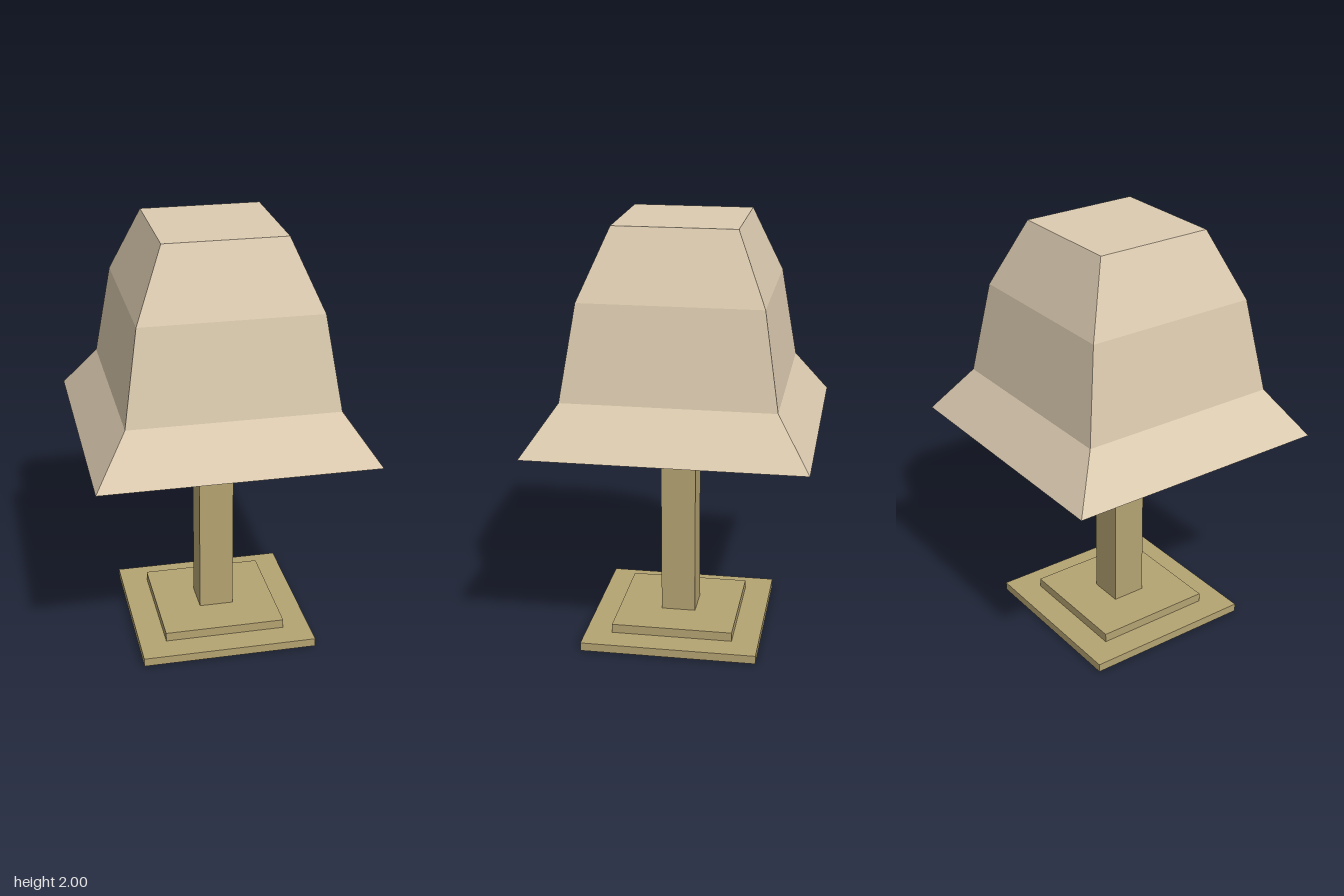
import * as THREE from 'three';

export function createModel() {
  const lamp = new THREE.Group();
  lamp.name = 'tableLamp';

  const wood = new THREE.MeshStandardMaterial({ color: 0xb5a472, flatShading: true });
  const fabric = new THREE.MeshStandardMaterial({ color: 0xdccbb0, flatShading: true });

  // Stand: square slabs and post, sitting slightly forward of the shade's axis
  const stand = new THREE.Group();
  stand.name = 'stand';
  stand.position.set(-0.002, 0, 0.017);
  lamp.add(stand);

  const addBlock = (name, width, bottom, top) => {
    const mesh = new THREE.Mesh(new THREE.BoxGeometry(width, top - bottom, width), wood);
    mesh.name = name;
    mesh.position.y = (bottom + top) / 2;
    stand.add(mesh);
  };
  addBlock('basePlate', 0.83, 0, 0.04);
  addBlock('baseStep', 0.576, 0.04, 0.083);
  addBlock('post', 0.164, 0.083, 1.03);

  // Shade: closed four-sided profile, given as [half width, height]
  const profile = [[0, 1.03], [0.635, 1.03], [0.482, 1.25], [0.413, 1.685], [0.28, 2], [0, 2]]
    .map(([half, y]) => new THREE.Vector2(half * Math.SQRT2, y));
  const shade = new THREE.Mesh(new THREE.LatheGeometry(profile, 4, Math.PI / 4), fabric);
  shade.name = 'shade';
  lamp.add(shade);

  return lamp;
}
